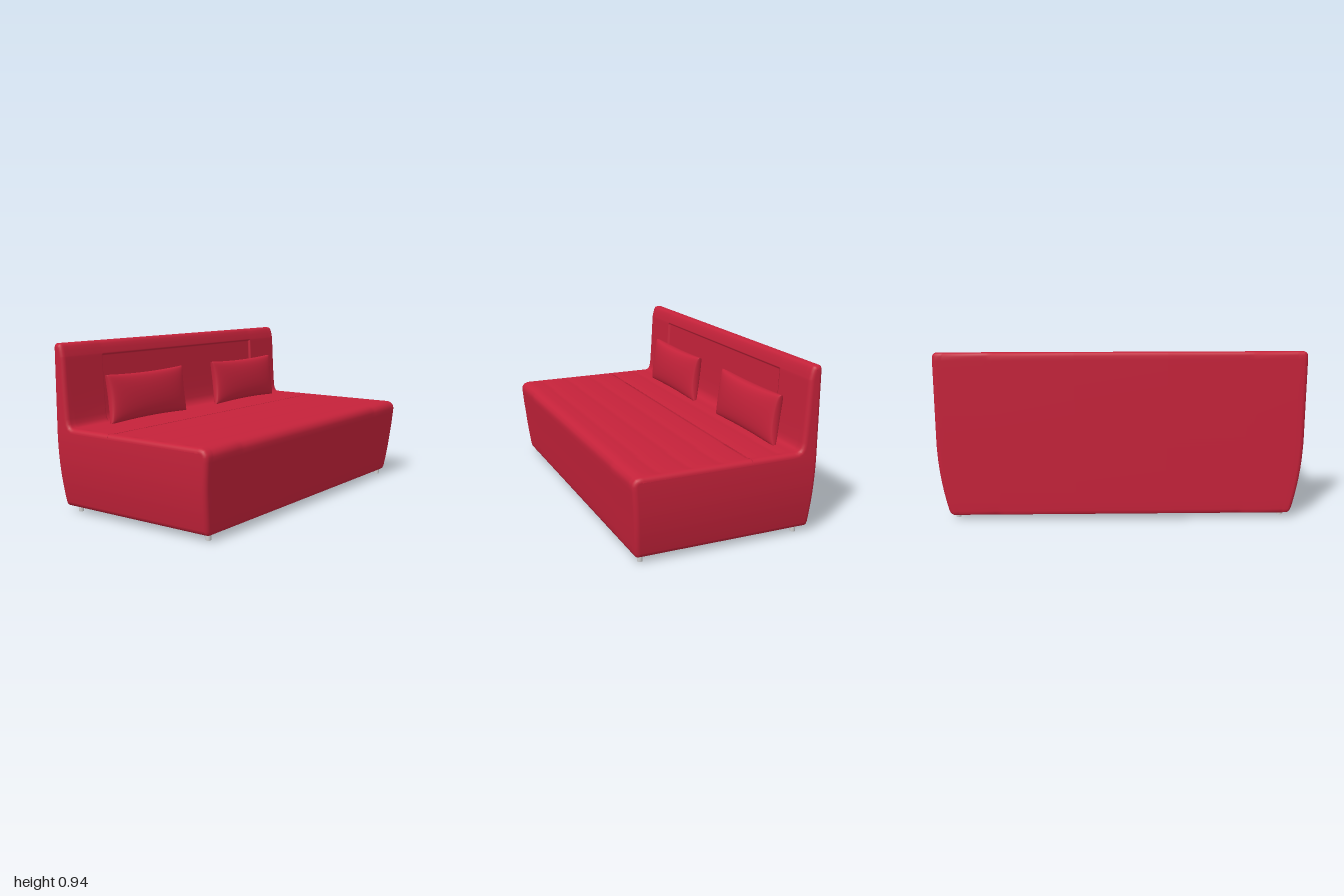
import * as THREE from 'three';
import { mergeVertices } from 'three/addons/utils/BufferGeometryUtils.js';

const BOTTOM = 0.03, TOP = 0.935, BACK = -0.522, BEVEL = 0.025;

// Front edge of the side profile as [z, y], from the bottom over the seat to the top of the back
function frontProfile(quilted) {
  const pts = [[0.45, 0.03], [0.472, 0.031], [0.482, 0.038], [0.487, 0.055], [0.492, 0.1], [0.498, 0.16],
    [0.503, 0.22], [0.508, 0.28], [0.514, 0.34], [0.52, 0.41], [0.522, 0.435], [0.518, 0.455],
    [0.503, 0.472], [0.48, 0.479]];
  // seat: gently quilted in the middle, plain at the ends
  const seat = z => quilted
    ? 0.476 + 0.005 * Math.sqrt(Math.abs(Math.sin(Math.PI * (z + 0.13) / 0.17)))
    : 0.4792 + 0.002 * (0.48 - z);
  for (let i = 0; i <= 50; i++) {
    const z = 0.465 - i * 0.017;
    pts.push([z, seat(z)]);
    if (z > -0.13 && z - 0.017 < -0.13) for (const s of [-0.127, -0.13, -0.133]) pts.push([s, seat(s)]);
  }
  pts.push([-0.402, 0.482], [-0.415, 0.488], [-0.424, 0.503], [-0.43, 0.53], [-0.435, 0.6], [-0.44, 0.68],
    [-0.444, 0.76], [-0.448, 0.84], [-0.4485, 0.85], [-0.449, 0.857], [-0.4493, 0.861], [-0.45, 0.868],
    [-0.456, 0.895], [-0.463, 0.918], [-0.472, 0.931], [-0.485, 0.935]);
  return pts;
}

// The flanks draw in toward the floor
function widthAt(y) {
  const t = THREE.MathUtils.clamp((y - BOTTOM) / 0.43, 0, 1);
  return 1 - 0.058 * (1 - t) ** 2;
}

// Closed cross-section at station s, shrunk by inset for the rounded ends
function section(profile, s, inset) {
  const n = profile.length, front = [], back = [];
  const lo = BOTTOM + inset, hi = TOP - inset, r = 0.015;
  let level = lo;
  profile.forEach(([z, y], k) => {
    const a = profile[Math.max(k - 1, 0)], b = profile[Math.min(k + 1, n - 1)];
    let tz = b[0] - a[0], ty = b[1] - a[1];
    if (k === 0) [tz, ty] = [1, 0];
    if (k === n - 1) [tz, ty] = [-1, 0];
    const len = Math.hypot(tz, ty);
    let pz = z - inset * ty / len;
    let py = THREE.MathUtils.clamp(y + inset * tz / len, lo, hi);
    // sunken panel in the backrest and seam across the seat
    if (Math.abs(s) < 0.706 && y > 0.49 && y < 0.859 && z < -0.4) pz -= y < 0.51 ? 0.006 : 0.012;
    if (Math.abs(s) < 0.946 && z === -0.13) py -= 0.01;
    front.push([pz, py]);
    level = Math.max(level, py);
    const e = Math.max(0, r - Math.min(level - lo, hi - level));
    back.push([BACK + inset + r - Math.sqrt(r * r - e * e), level]);
  });
  return [...front, ...back.reverse()].map(([z, y]) => [s * widthAt(y), y, z]);
}

function sofaGeometry() {
  const quilted = frontProfile(true), plain = frontProfile(false);
  const n = plain.length, N = 2 * n;
  const half = [[0.25, 0], [0.68, 0], [0.698, 0], [0.704, 0], [0.708, 0], [0.714, 0], [0.735, 0],
    [0.94, 0], [0.95, 0]];
  for (let i = 0; i <= 6; i++) {
    const a = i / 6 * Math.PI / 2;
    half.push([1 - BEVEL + BEVEL * Math.sin(a), BEVEL * (1 - Math.cos(a))]);
  }
  const stations = [...half.map(([s, d]) => [-s, d]).reverse(), ...half];
  const pos = [], idx = [];
  for (const [s, d] of stations) {
    section(Math.abs(s) < 0.96 ? quilted : plain, s, d).forEach(p => pos.push(...p));
  }
  const quad = (a, b, c, d) => idx.push(a, b, c, a, c, d);
  for (let i = 0; i < stations.length - 1; i++) {
    // the underside stays open between the rounded ends
    const open = stations[i][1] === 0 && stations[i + 1][1] === 0;
    for (let j = 0; j < (open ? N - 1 : N); j++) {
      const k = (j + 1) % N;
      quad(i * N + j, (i + 1) * N + j, (i + 1) * N + k, i * N + k);
    }
  }
  // end faces, laddered from front edge to back edge
  const last = (stations.length - 1) * N;
  for (let k = 0; k < n - 1; k++) {
    const f = k, g = k + 1, b = N - 1 - k, c = N - 2 - k;
    quad(last + f, last + b, last + c, last + g);
    quad(f, g, c, b);
  }
  let geo = new THREE.BufferGeometry();
  geo.setAttribute('position', new THREE.Float32BufferAttribute(pos, 3));
  geo.setIndex(idx);
  geo = mergeVertices(geo, 1e-5);
  geo.computeVertexNormals();
  return geo;
}

// Plump cushion with pinched corners
function cushionGeometry(w, h, t) {
  let geo = new THREE.BoxGeometry(2, 2, 2, 32, 22, 2);
  geo.deleteAttribute('uv');
  geo.deleteAttribute('normal');
  const p = geo.attributes.position;
  for (let i = 0; i < p.count; i++) {
    const u = Math.sin(p.getX(i) * Math.PI / 2), v = Math.sin(p.getY(i) * Math.PI / 2);
    const puff = Math.max(0, (1 - u * u) * (1 - v * v)) ** 0.33;
    p.setXYZ(i,
      u * w / 2 * (1 - 0.04 * (1 - v * v)),
      v * h / 2 * (1 - 0.07 * (1 - u * u)),
      p.getZ(i) * (0.005 + t / 2 * puff));
  }
  geo = mergeVertices(geo, 1e-5);
  geo.computeVertexNormals();
  return geo;
}

export function createModel() {
  const group = new THREE.Group();
  const red = new THREE.MeshStandardMaterial({ color: 0xc5223a, side: THREE.DoubleSide });
  red.name = 'red fabric';
  const metal = new THREE.MeshStandardMaterial({ color: 0xcecece });
  metal.name = 'light grey metal';
  const add = (name, geo, mat, x, y, z) => {
    const mesh = new THREE.Mesh(geo, mat);
    mesh.name = name;
    mesh.position.set(x, y, z);
    group.add(mesh);
    return mesh;
  };

  // Upholstered seat and backrest
  add('upholsteredBody', sofaGeometry(), red, 0, 0, 0);

  // Loose cushions leaning on the backrest
  const cushion = cushionGeometry(0.64, 0.275, 0.1);
  for (const [name, x] of [['rightCushion', -0.425], ['leftCushion', 0.517]]) {
    add(name, cushion, red, x, 0.614, -0.371).rotation.x = -0.12;
  }

  // Base frame set into the underside, with a gap behind it
  add('baseFrame', new THREE.BoxGeometry(1.83, 0.045, 0.9), metal, 0, 0.0515, 0.015);

  // Feet
  const foot = new THREE.CylinderGeometry(0.014, 0.014, 0.07, 20);
  for (const x of [-0.896, 0.906]) {
    for (const z of [-0.45, 0.45]) add('foot', foot, metal, x, 0.035, z);
  }
  return group;
}
